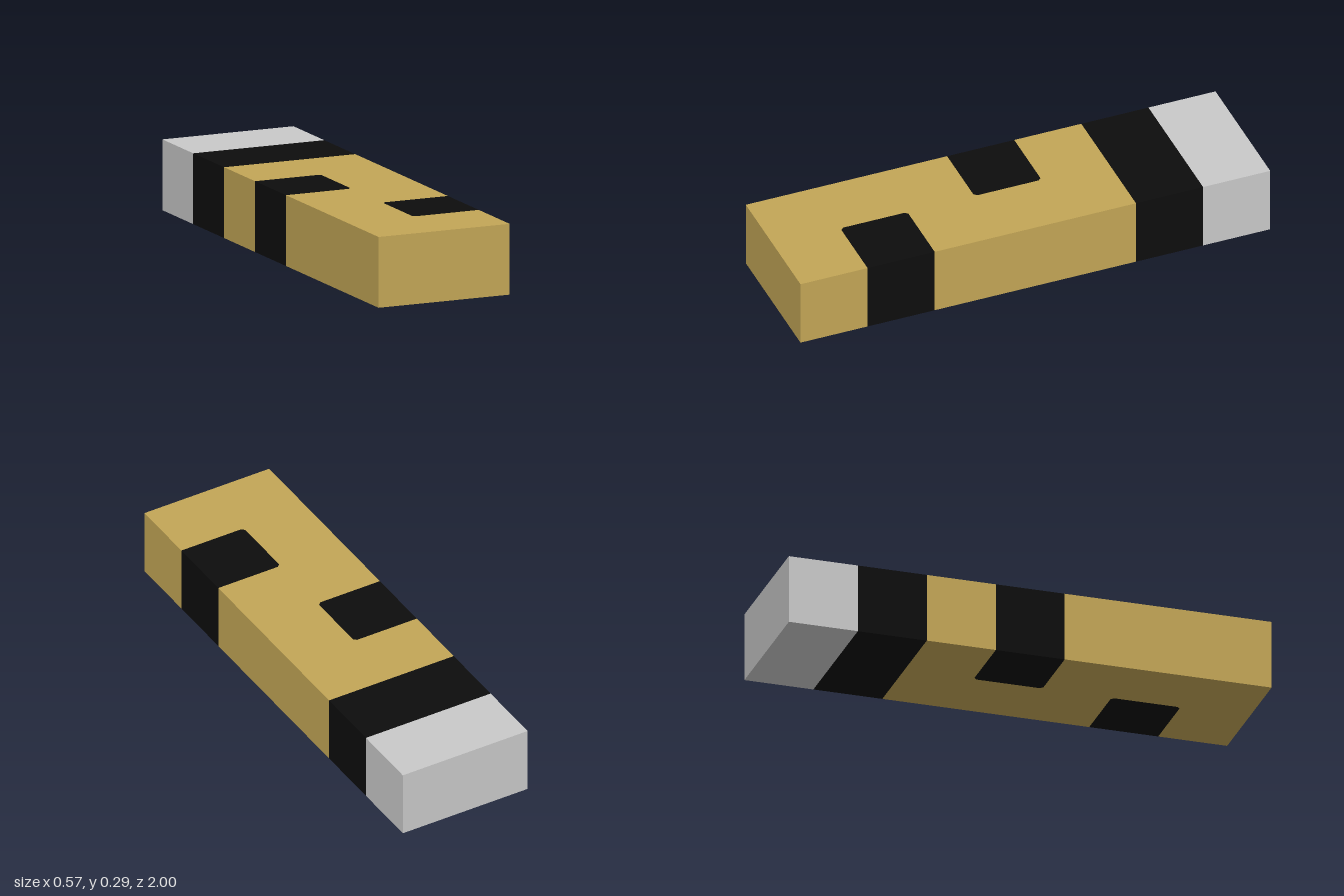
import * as THREE from 'three';

const U = 1 / 7;          // layout unit: the bar is 4 x 2 x 14 units
const HEIGHT = 2 * U;
const NOTCH = 0.012;      // small clipped corners on the inner ends of the patches

const material = (name, color) => {
  const m = new THREE.MeshStandardMaterial({ color });
  m.name = name;
  return m;
};

// Upright prism from a plan outline of [x, z] points
function prism(name, points, mat) {
  const shape = new THREE.Shape(points.map(([x, z]) => new THREE.Vector2(x, z)));
  const geometry = new THREE.ExtrudeGeometry(shape, { depth: HEIGHT, bevelEnabled: false });
  geometry.rotateX(Math.PI / 2).translate(0, HEIGHT, 0);
  const mesh = new THREE.Mesh(geometry, mat);
  mesh.name = name;
  return mesh;
}

// Full-width block between two z positions
function block(name, z0, z1, mat) {
  const geometry = new THREE.BoxGeometry(4 * U, HEIGHT, z1 - z0);
  const mesh = new THREE.Mesh(geometry, mat);
  mesh.position.set(0, HEIGHT / 2, (z0 + z1) / 2);
  mesh.name = name;
  return mesh;
}

// Outline of a patch running from one side edge to the centre line, in order of rising z
const patchOutline = (side, z0, z1) => [
  [side * 2 * U, z0], [side * NOTCH, z0], [0, z0 + NOTCH],
  [0, z1 - NOTCH], [side * NOTCH, z1], [side * 2 * U, z1],
];

export function createModel() {
  const gold = material('gold', 0xc3a656);
  const black = material('black', 0x0d0d0d);
  const grey = material('light grey', 0xc9c9c9);

  const leftPatch = patchOutline(1, 3 * U, 5 * U);
  const rightPatch = patchOutline(-1, -U, U);

  // Gold body with both patches cut out of its sides
  const body = [
    [-2 * U, -3 * U], [2 * U, -3 * U], ...leftPatch,
    [2 * U, 7 * U], [-2 * U, 7 * U], ...rightPatch.slice().reverse(),
  ];

  const group = new THREE.Group();
  group.name = 'bar';
  group.add(
    prism('body', body, gold),
    prism('leftPatch', leftPatch, black),
    prism('rightPatch', rightPatch, black),
    block('band', -5 * U, -3 * U, black),
    block('endCap', -7 * U, -5 * U, grey),
  );
  return group;
}
